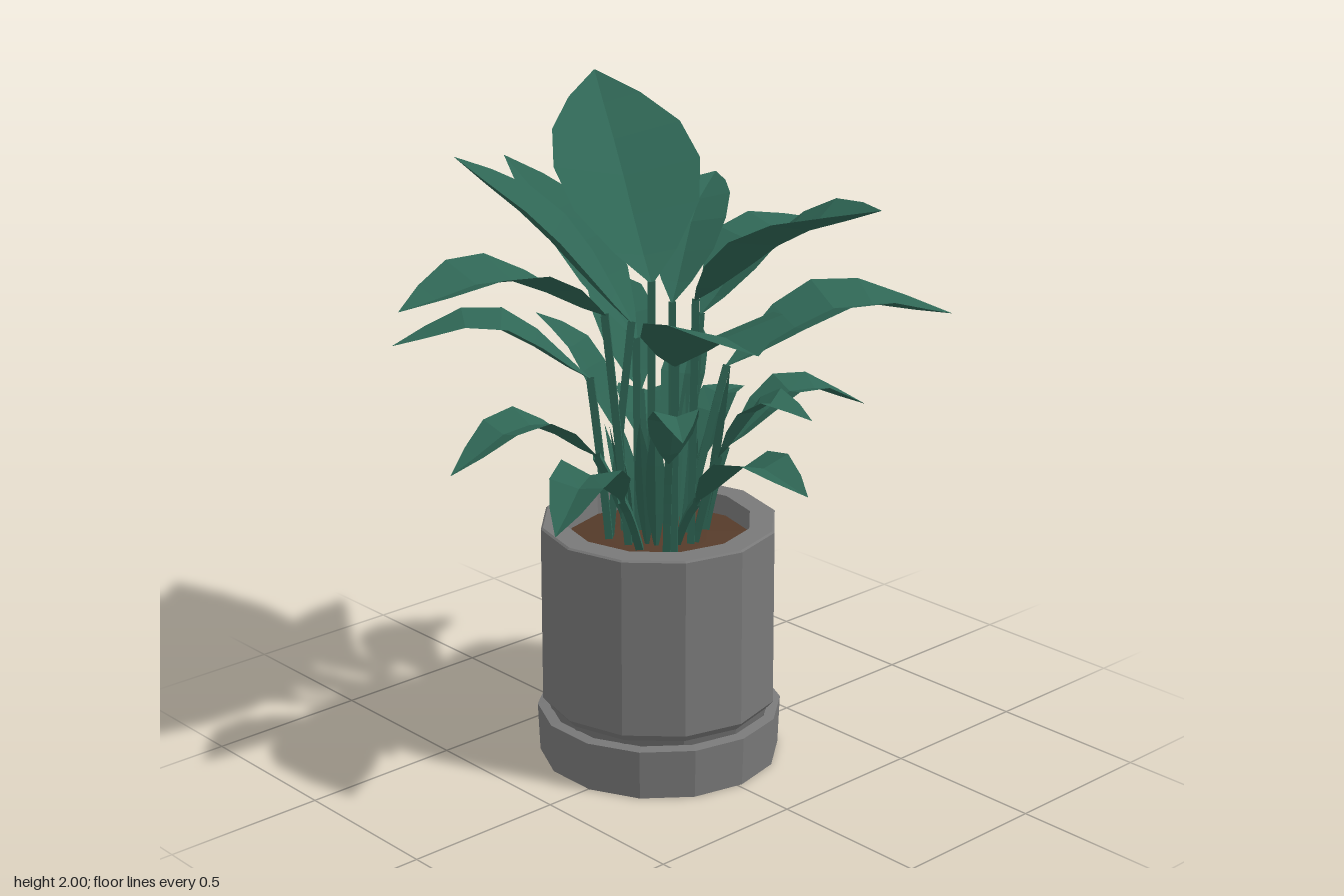
import * as THREE from 'three';

const leafGreen = new THREE.MeshStandardMaterial({ color: 0x2f6655, flatShading: true, side: THREE.DoubleSide });
leafGreen.name = 'leafGreen';
const potGrey = new THREE.MeshStandardMaterial({ color: 0x787878, flatShading: true });
potGrey.name = 'potGrey';
const soilBrown = new THREE.MeshStandardMaterial({ color: 0x553b2a, flatShading: true });
soilBrown.name = 'soilBrown';

const CX = 0.015, CZ = -0.08; // pot axis

// Leaves: tip x, y, z, height of the arch above the tip, full width
const LEAVES = [
  [0.33, 2.0, -0.72, -0.19, 0.46],
  [0.2, 1.82, 0.63, -0.08, 0.42],
  [-0.42, 1.88, -0.48, -0.18, 0.35],
  [-0.08, 1.8, -0.67, -0.17, 0.26],
  [-0.89, 1.58, -0.14, 0.06, 0.32],
  [-0.36, 1.54, 0.72, -0.01, 0.38],
  [0.88, 1.32, 0.31, 0.09, 0.33],
  [0.72, 1.57, -0.11, 0.02, 0.25],
  [0.57, 1.69, -0.42, -0.04, 0.23],
  [0.22, 1.4, -0.6, -0.03, 0.2],
  [0.36, 0.94, -0.53, 0.12, 0.2],
  [-0.63, 1.34, -0.53, 0.07, 0.24],
  [-0.72, 1.06, -0.15, 0.12, 0.2],
  [-0.58, 0.92, 0.14, 0.14, 0.2],
  [0.66, 1.04, 0.16, 0.1, 0.2],
  [-0.06, 1.04, 0.62, 0.04, 0.2],
  [0.21, 1.14, 0.37, 0.05, 0.18],
  [0.49, 1.05, -0.2, 0.02, 0.14],
  [0.42, 1.23, -0.32, -0.03, 0.14],
  [-0.14, 1.36, -0.46, -0.08, 0.15],
  [-0.24, 1.16, 0.3, 0.05, 0.15],
];

// Pointed blade: three points across (edge, sunken rib, edge) swept along an arch
function bladeGeometry(curve, width) {
  const profile = [[0, 0.04], [0.12, 0.42], [0.3, 0.85], [0.48, 1], [0.66, 0.88], [0.84, 0.5], [1, 0.01]];
  const pos = [], index = [];
  profile.forEach(([t, w], i) => {
    const p = curve.getPointAt(t);
    const dir = curve.getTangentAt(t);
    const side = new THREE.Vector3(-dir.z, 0, dir.x).normalize();
    const up = side.clone().cross(dir).normalize();
    const half = (w * width) / 2;
    for (const s of [-1, 0, 1]) {
      const q = p.clone().addScaledVector(side, s * half);
      q.addScaledVector(up, (s === 0 ? -0.2 : 0.1) * half);
      pos.push(q.x, q.y, q.z);
    }
    if (i === 0) return;
    const a = (i - 1) * 3, b = i * 3;
    for (let k = 0; k < 2; k++) index.push(a + k, b + k, a + k + 1, a + k + 1, b + k, b + k + 1);
  });
  const g = new THREE.BufferGeometry();
  g.setAttribute('position', new THREE.Float32BufferAttribute(pos, 3));
  g.setIndex(index);
  g.computeVertexNormals();
  return g;
}

// Leaf on a slim stalk; upright leaves start lower and nearer the axis than drooping ones
function makeLeaf([x, y, z, arch, width], i) {
  const leaf = new THREE.Group();
  leaf.name = 'leaf' + (i + 1);
  const tip = new THREE.Vector3(x, y, z);
  const out = new THREE.Vector3(x - CX, 0, z - CZ).normalize();
  const along = (r, h) => new THREE.Vector3(CX + out.x * r, h, CZ + out.z * r);
  const base = along(0.17 + 0.5 * arch, y - 0.23 + 1.5 * arch);
  const mid = base.clone().lerp(tip, 0.5).setY(y + arch);

  const blade = new THREE.Mesh(bladeGeometry(new THREE.CatmullRomCurve3([base, mid, tip]), width), leafGreen);
  blade.name = 'blade';

  const root = along(0.08 + 0.035 * (i % 3), 0.68);
  const bend = root.clone().lerp(base, 0.55);
  bend.y += 0.04;
  const stalk = new THREE.Mesh(
    new THREE.TubeGeometry(new THREE.QuadraticBezierCurve3(root, bend, base), 5, 0.016, 4), leafGreen);
  stalk.name = 'stalk';
  leaf.add(blade, stalk);
  return leaf;
}

// Short narrow shoots filling the clump
function makeShoot(i) {
  const a = i * 2.4, r = 0.05 + 0.1 * ((i * 0.37) % 1), h = 0.95 + 0.28 * ((i * 0.618) % 1);
  const at = (k, y) => new THREE.Vector3(CX + Math.cos(a) * r * k, y, CZ + Math.sin(a) * r * k);
  const curve = new THREE.CatmullRomCurve3([at(1, 0.68), at(1.2, 0.85), at(1.6, h)]);
  const shoot = new THREE.Mesh(bladeGeometry(curve, 0.06), leafGreen);
  shoot.name = 'shoot';
  return shoot;
}

function lathe(points, sides, material, name) {
  const mesh = new THREE.Mesh(
    new THREE.LatheGeometry(points.map((p) => new THREE.Vector2(...p)), sides), material);
  mesh.position.set(CX, 0, CZ);
  mesh.name = name;
  return mesh;
}

export function createModel() {
  const plant = new THREE.Group();
  plant.name = 'pottedPlant';

  // Saucer, pot with thick rim, and soil
  plant.add(lathe([[0, 0], [0.372, 0], [0.378, 0.155], [0.345, 0.16], [0.33, 0.13]], 14, potGrey, 'saucer'));
  plant.add(lathe([[0.33, 0.13], [0.345, 0.175], [0.366, 0.2], [0.364, 0.755], [0.358, 0.76],
    [0.285, 0.76], [0.28, 0.66]], 12, potGrey, 'pot'));
  plant.add(lathe([[0.29, 0.695], [0.15, 0.705], [0, 0.71]], 12, soilBrown, 'soil'));

  // Foliage
  const foliage = new THREE.Group();
  foliage.name = 'foliage';
  LEAVES.forEach((l, i) => foliage.add(makeLeaf(l, i)));
  for (let i = 0; i < 14; i++) foliage.add(makeShoot(i));
  plant.add(foliage);
  return plant;
}
